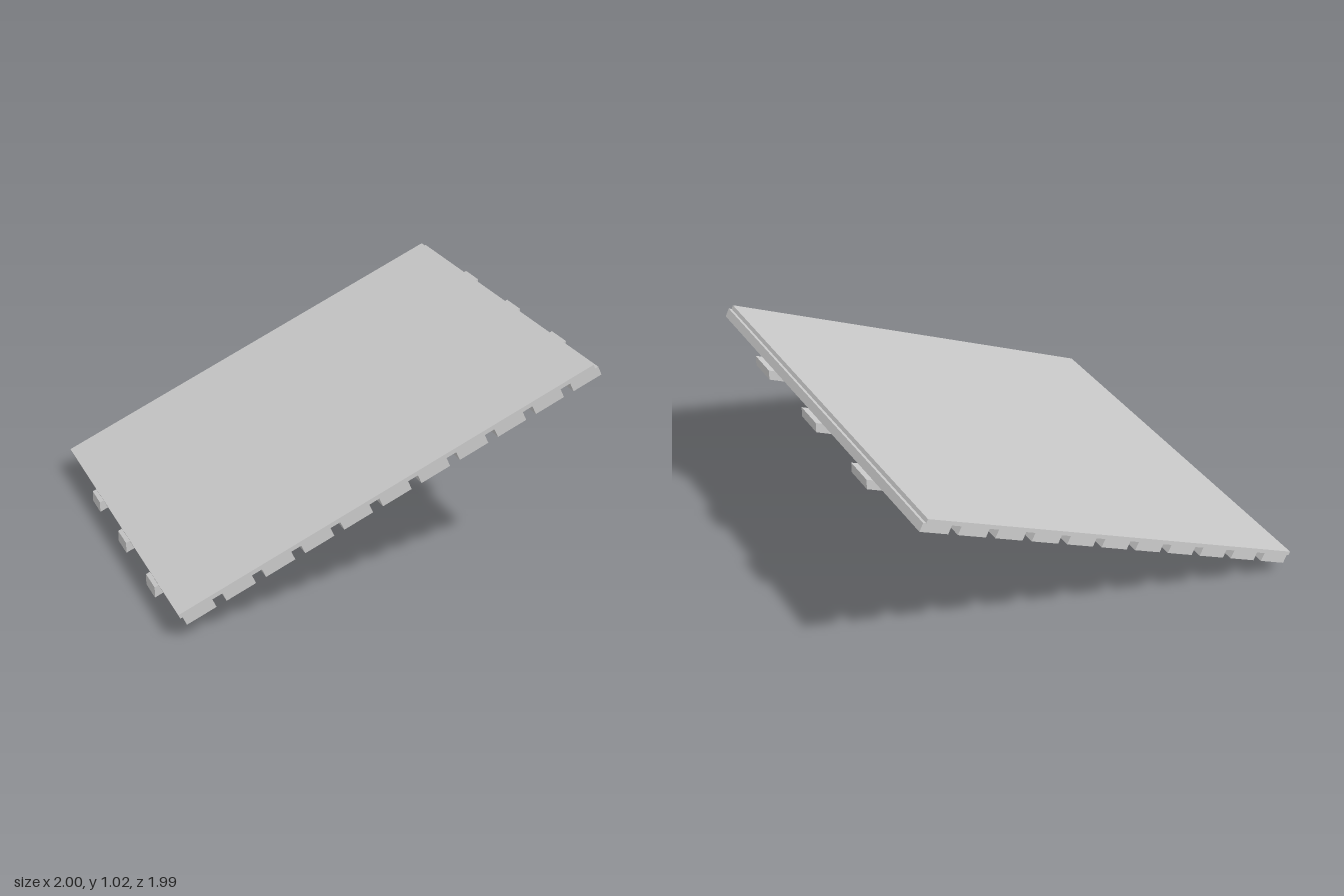
import * as THREE from 'three';

const SLOPE = 0.4685;               // rise per unit of run
const WIDTH = 1.99;                 // extent along z
const BEAM_BASE = 0.465;            // height of the beam undersides at x = 0
const BEAM_HEIGHT = 0.05;           // measured vertically
const PLANK = { count: 11, pitch: 0.1985, width: 0.148, thickness: 0.043, start: -1.063 };
const SHEET = { from: -1.0748, to: 1.054, thickness: 0.02 };

export function createModel() {
  const model = new THREE.Group();
  model.name = 'slopedRoof';
  const material = new THREE.MeshStandardMaterial({ color: 0xcccccc, flatShading: true });

  const add = (parent, name, geometry, x, y, z) => {
    const mesh = new THREE.Mesh(geometry, material);
    mesh.name = name;
    mesh.position.set(x, y, z);
    parent.add(mesh);
  };

  // Three supporting beams, their ends cut upright
  const beamWidth = 0.147, left = -0.99, right = 1;
  const outline = new THREE.Shape([
    new THREE.Vector2(left, left * SLOPE),
    new THREE.Vector2(right, right * SLOPE),
    new THREE.Vector2(right, right * SLOPE + BEAM_HEIGHT),
    new THREE.Vector2(left, left * SLOPE + BEAM_HEIGHT),
  ]);
  const beam = new THREE.ExtrudeGeometry(outline, { depth: beamWidth, bevelEnabled: false });
  beam.translate(0, BEAM_BASE, -beamWidth / 2);
  for (const z of [-0.5, 0, 0.5]) add(model, 'beam', beam, 0, 0, z);

  // Tilted deck, built flat on the beam tops
  const deck = new THREE.Group();
  deck.name = 'deck';
  deck.position.y = BEAM_BASE + BEAM_HEIGHT;
  deck.rotation.z = Math.atan(SLOPE);
  model.add(deck);

  // Spaced cross planks
  const plank = new THREE.BoxGeometry(PLANK.width, PLANK.thickness, WIDTH);
  for (let i = 0; i < PLANK.count; i++) {
    add(deck, 'plank', plank, PLANK.start + PLANK.width / 2 + i * PLANK.pitch, PLANK.thickness / 2, 0);
  }

  // Covering sheet
  const sheet = new THREE.BoxGeometry(SHEET.to - SHEET.from, SHEET.thickness, WIDTH);
  add(deck, 'coveringSheet', sheet, (SHEET.from + SHEET.to) / 2, PLANK.thickness + SHEET.thickness / 2, 0);

  return model;
}
